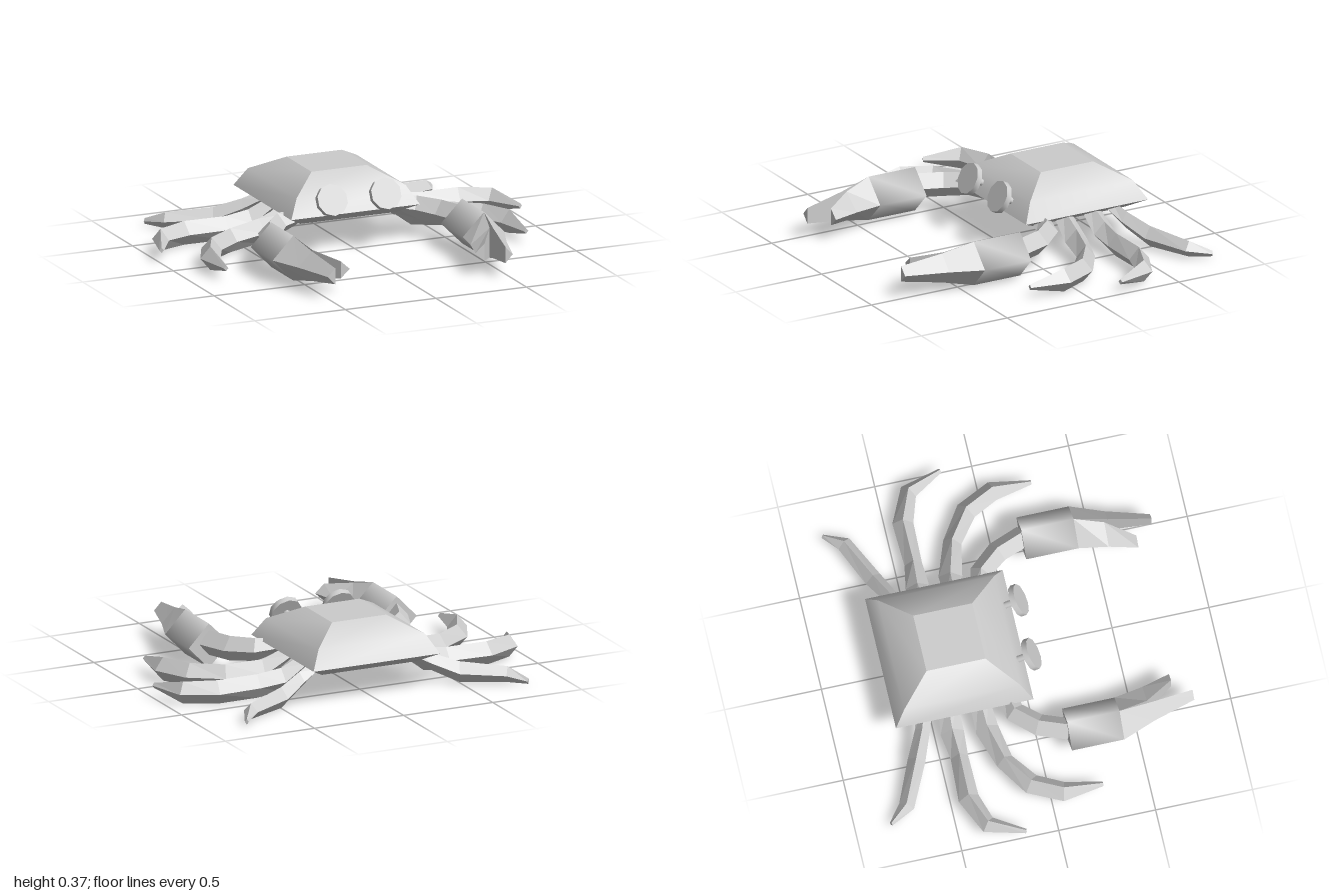
import * as THREE from 'three';
import { mergeGeometries, toCreasedNormals } from 'three/addons/utils/BufferGeometryUtils.js';

const material = new THREE.MeshStandardMaterial({ color: 0xcccccc });

const fromTriangles = (pts) => {
  const g = new THREE.BufferGeometry();
  g.setAttribute('position', new THREE.Float32BufferAttribute(pts.flat(), 3));
  return g;
};

// Skin a list of rings; side = -1 mirrors the part in x. End caps stay flat.
function loft(name, rings, { side = 1, crease = 0.01 } = {}) {
  if (side < 0) rings = rings.map((r) => r.map(([x, y, z]) => [-x, y, z]).reverse());
  const skin = [], caps = [];
  const n = rings[0].length;
  for (let i = 0; i < rings.length - 1; i++) {
    const a = rings[i], b = rings[i + 1];
    for (let j = 0; j < n; j++) {
      const k = (j + 1) % n;
      skin.push(a[j], a[k], b[k], a[j], b[k], b[j]);
    }
  }
  const first = rings[0], last = rings[rings.length - 1];
  for (let j = 1; j < n - 1; j++) {
    caps.push(first[0], first[j + 1], first[j], last[0], last[j], last[j + 1]);
  }
  const capGeometry = fromTriangles(caps);
  capGeometry.computeVertexNormals();
  const geometry = mergeGeometries([toCreasedNormals(fromTriangles(skin), crease), capGeometry]);
  const mesh = new THREE.Mesh(geometry, material);
  mesh.name = name;
  return mesh;
}

// Diamond-section limb; each station is [x, y, z, half width, half height]
function limb(name, stations, side) {
  const rings = stations.map(([x, y, z, w, h], i) => {
    const p = stations[Math.max(i - 1, 0)];
    const q = stations[Math.min(i + 1, stations.length - 1)];
    const len = Math.hypot(q[0] - p[0], q[2] - p[2]);
    const ux = ((q[2] - p[2]) / len) * w, uz = (-(q[0] - p[0]) / len) * w;
    return [[x + ux, y, z + uz], [x, y + h, z], [x - ux, y, z - uz], [x, y - h, z]];
  });
  return loft(name, rings, { side });
}

const legs = {
  frontLeg: [
    [0.27, 0.17, -0.25, 0.05, 0.04], [0.42, 0.085, -0.24, 0.06, 0.065],
    [0.60, 0.07, -0.19, 0.047, 0.063], [0.75, 0.07, -0.085, 0.054, 0.062],
    [0.825, 0.07, 0.067, 0.052, 0.062], [0.828, 0.07, 0.268, 0.012, 0.014],
  ],
  middleLeg: [
    [0.27, 0.17, -0.41, 0.05, 0.04], [0.40, 0.09, -0.415, 0.06, 0.06],
    [0.53, 0.07, -0.407, 0.045, 0.062], [0.755, 0.07, -0.41, 0.053, 0.062],
    [0.915, 0.07, -0.345, 0.045, 0.058], [0.99, 0.07, -0.165, 0.012, 0.014],
  ],
  rearLeg: [
    [0.27, 0.17, -0.53, 0.04, 0.035], [0.37, 0.12, -0.562, 0.038, 0.045],
    [0.50, 0.065, -0.622, 0.045, 0.055], [0.72, 0.05, -0.722, 0.04, 0.042],
    [0.79, 0.03, -0.817, 0.01, 0.015],
  ],
};

const arm = [
  [0.27, 0.17, -0.12, 0.05, 0.04], [0.385, 0.155, -0.09, 0.055, 0.06],
  [0.475, 0.145, 0.015, 0.058, 0.065], [0.53, 0.145, 0.16, 0.058, 0.065],
];

// Claw finger sections: [z, outer edge x, inner edge x, half height]
const outerFinger = [[0.42, 0.64, 0.527, 0.117], [0.59, 0.575, 0.502, 0.078], [0.81, 0.51, 0.47, 0.042]];
const innerFinger = [[0.42, 0.41, 0.527, 0.117], [0.57, 0.385, 0.49, 0.078], [0.715, 0.347, 0.397, 0.045]];

function claw(side) {
  const group = new THREE.Group();
  group.name = side > 0 ? 'leftClaw' : 'rightClaw';
  const y = 0.128;
  group.add(limb('clawArm', arm, side));
  // Palm
  const palm = [0.15, 0.42].map((z) =>
    [[0.64, y, z], [0.527, y + 0.117, z], [0.41, y, z], [0.527, y - 0.117, z]]);
  group.add(loft('palm', palm, { side, crease: 1.7 }));
  // Pincer pair with wedge sections
  group.add(loft('outerFinger', outerFinger.map(([z, o, i, h]) =>
    [[o, y, z], [i, y + h, z], [i, y - h, z]]), { side }));
  group.add(loft('innerFinger', innerFinger.map(([z, o, i, h]) =>
    [[o, y, z], [i, y - h, z], [i, y + h, z]]), { side }));
  return group;
}

// Round tilted disc on a short stalk
function eye(side) {
  const group = new THREE.Group();
  group.name = side > 0 ? 'leftEye' : 'rightEye';
  const add = (name, radius, length, sides, offset) => {
    const g = new THREE.CylinderGeometry(radius, radius, length, sides);
    g.translate(0, offset, 0);
    const mesh = new THREE.Mesh(toCreasedNormals(g, 0.9), material);
    mesh.name = name;
    group.add(mesh);
  };
  add('eyeDisc', 0.083, 0.03, 10, 0);
  add('eyeStalk', 0.018, 0.1, 8, -0.06);
  group.position.set(0.148 * side, 0.288, 0.05);
  group.rotation.x = 1.12;
  return group;
}

export function createModel() {
  const model = new THREE.Group();
  model.name = 'crab';

  // Shell: stacked squares as [y, half size]
  const shell = [[0.147, 0.265], [0.2, 0.355], [0.295, 0.3], [0.377, 0.152]].map(([y, s]) =>
    [[-1, 1], [1, 1], [1, -1], [-1, -1]].map(([x, z]) => [x * s, y, z * s - 0.34]));
  model.add(loft('shell', shell, { crease: 0.62 }));

  for (const side of [1, -1]) {
    for (const [name, stations] of Object.entries(legs)) model.add(limb(name, stations, side));
    model.add(claw(side), eye(side));
  }
  return model;
}
